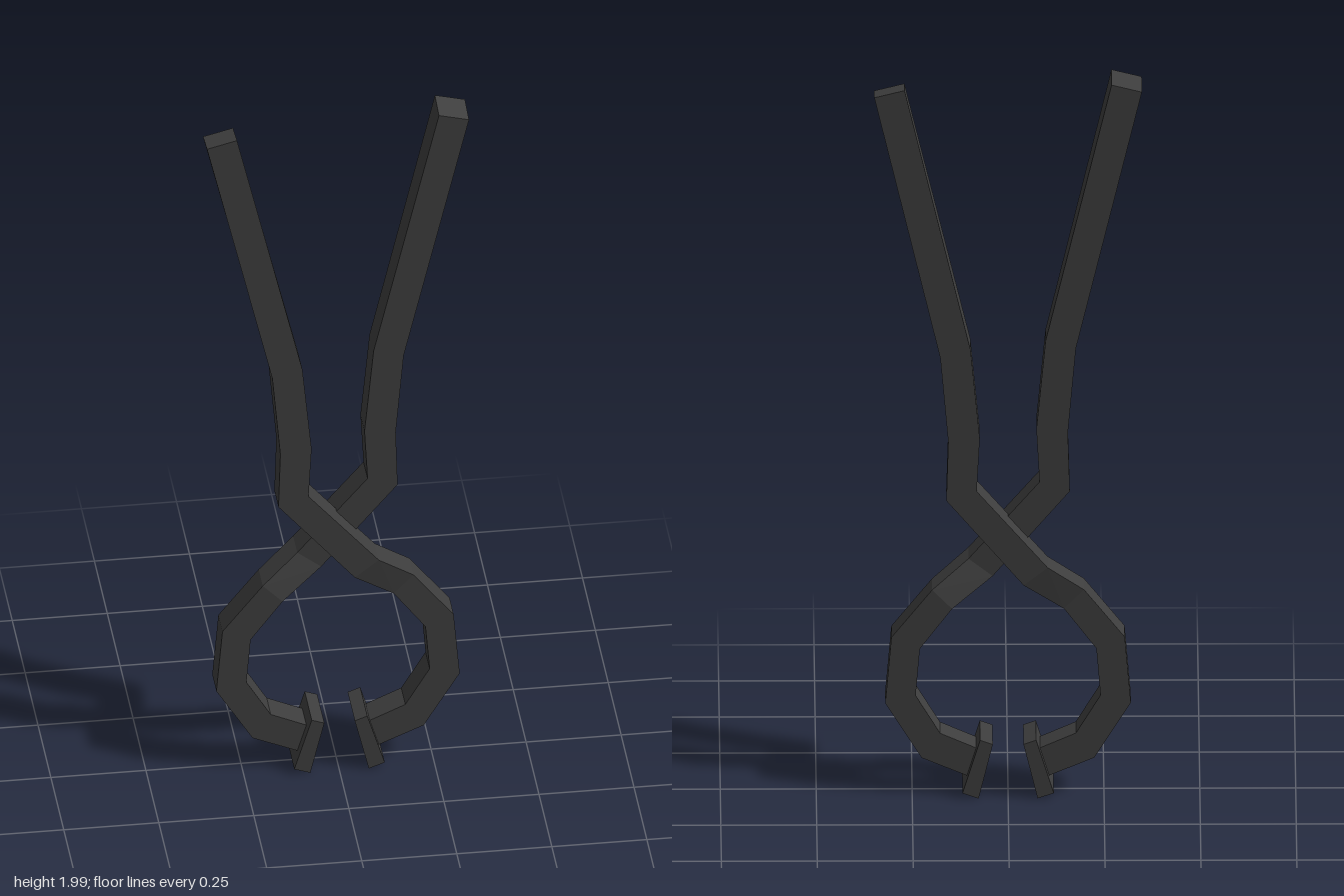
import * as THREE from 'three';

// Cross-sections down one arm: inner x, y, outer x, y, back z, front z
const SECTIONS = [
  [-0.349, 1.978, -0.27, 1.998, -0.007, 0.072],
  [-0.177, 1.246, -0.098, 1.267, -0.008, 0.072],
  [-0.156, 1.008, -0.074, 1.018, -0.008, 0.072],
  [-0.161, 0.844, -0.082, 0.87, -0.008, 0.072],
  [0.04, 0.606, 0.103, 0.655, -0.008, 0.072],
  [0.146, 0.527, 0.198, 0.58, -0.04, 0.04],
  [0.23, 0.415, 0.304, 0.447, -0.04, 0.04],
  [0.241, 0.283, 0.32, 0.262, -0.04, 0.04],
  [0.177, 0.177, 0.225, 0.108, -0.04, 0.04],
  [0.075, 0.132, 0.1, 0.055, -0.04, 0.04],
];

// Square bar skinned through the cross-sections, with closed ends
function armGeometry() {
  const rings = SECTIONS.map(([ix, iy, ox, oy, z0, z1]) => [
    [ix, iy, z0], [ox, oy, z0], [ox, oy, z1], [ix, iy, z1],
  ]);
  // The handle tip slopes down slightly towards the middle
  rings[0][0][1] -= 0.012;
  rings[0][1][1] -= 0.012;

  const pos = [];
  const quad = (a, b, c, d) => pos.push(...a, ...b, ...c, ...a, ...c, ...d);
  for (let i = 0; i < rings.length - 1; i++) {
    for (let j = 0; j < 4; j++) {
      const k = (j + 1) % 4;
      quad(rings[i][j], rings[i][k], rings[i + 1][k], rings[i + 1][j]);
    }
  }
  const top = rings[0];
  const end = rings[rings.length - 1];
  quad(top[3], top[2], top[1], top[0]);
  quad(end[0], end[1], end[2], end[3]);

  const geo = new THREE.BufferGeometry();
  geo.setAttribute('position', new THREE.Float32BufferAttribute(pos, 3));
  geo.computeVertexNormals();
  return geo;
}

// Tilted gripping plate at the end of the arm
function jawGeometry() {
  const shape = new THREE.Shape([
    new THREE.Vector2(0.04, 0.157),
    new THREE.Vector2(0.077, 0.005),
    new THREE.Vector2(0.119, 0.02),
    new THREE.Vector2(0.073, 0.169),
  ]);
  const geo = new THREE.ExtrudeGeometry(shape, { depth: 0.138, bevelEnabled: false });
  geo.translate(0, 0, -0.069);
  return geo;
}

export function createModel() {
  const model = new THREE.Group();
  model.name = 'tongs';
  const iron = new THREE.MeshStandardMaterial({ color: 0x3d3d3d });
  iron.name = 'darkIron';

  const armGeo = armGeometry();
  const jawGeo = jawGeometry();

  // The two halves are identical, turned half a circle about the upright axis
  ['front', 'back'].forEach((side, i) => {
    const half = new THREE.Group();
    half.name = side + 'Half';
    const arm = new THREE.Mesh(armGeo, iron);
    arm.name = side + 'Arm';
    const jaw = new THREE.Mesh(jawGeo, iron);
    jaw.name = side + 'JawPlate';
    half.add(arm, jaw);
    half.rotation.y = i * Math.PI;
    model.add(half);
  });
  return model;
}
